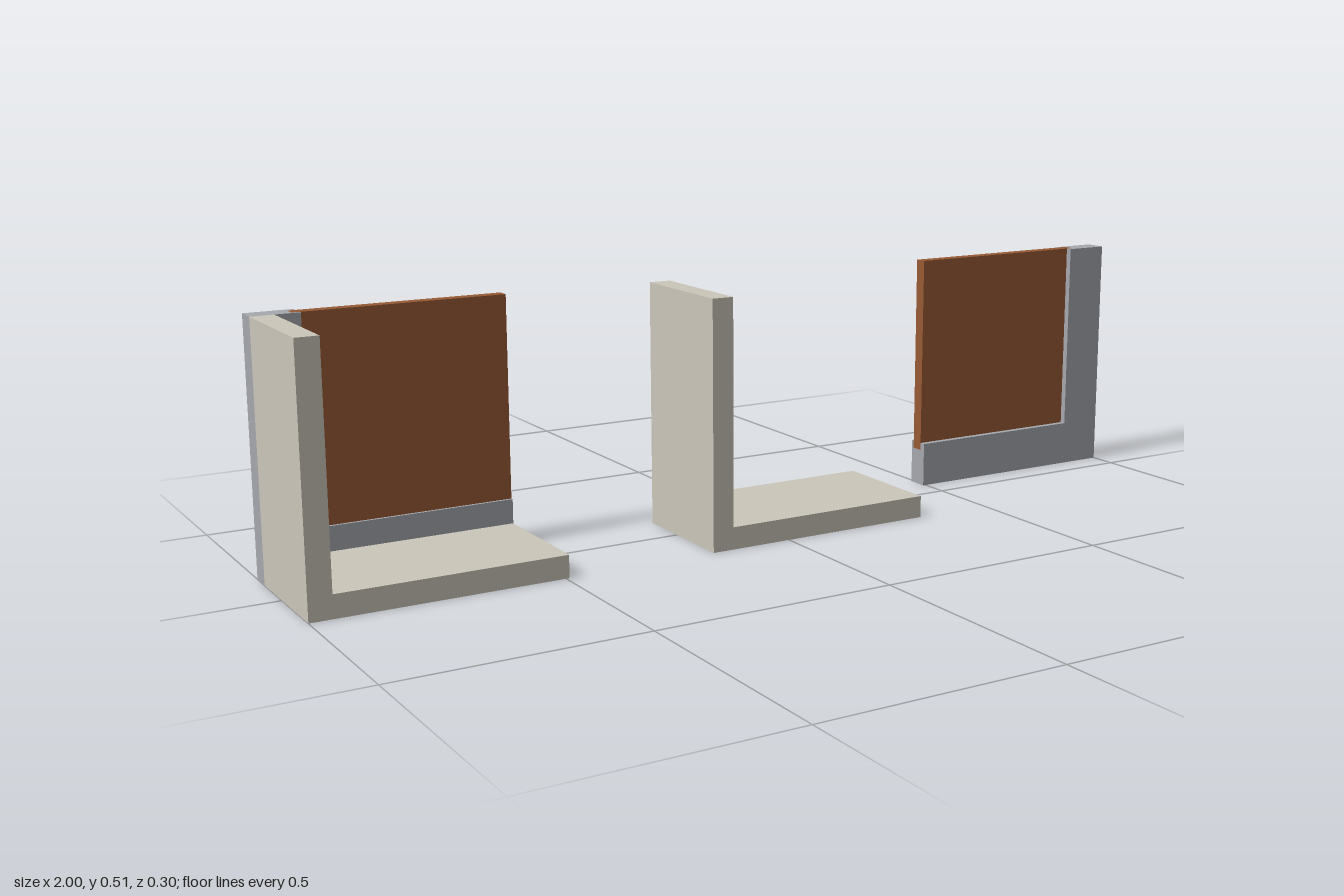
import * as THREE from 'three';

const SIZE = 0.507, HEIGHT = 0.509;   // outer size of each L piece
const WALL = 0.046;                   // channel wall thickness
const FRAME_W = 0.096, GROOVE_W = 0.08;
const FRAME_T = 0.045, LIP = 0.006, PANEL_T = 0.026;
const CHANNEL_D = 0.255, HOLE_D = 0.02;

// Fixing positions measured from the outer bottom corner
const DISCS = [[0.024, 0.42], [0.024, 0.135], [0.282, 0.025]];
const PINS = [[0.024, 0.302], [0.423, 0.025]];

function material(name, color) {
  const m = new THREE.MeshStandardMaterial({ color });
  m.name = name;
  return m;
}

// L outline with its corner at the origin
function lShape(w, holes = []) {
  const s = new THREE.Shape([
    [0, 0], [SIZE, 0], [SIZE, w], [w, w], [w, HEIGHT], [0, HEIGHT],
  ].map(([x, y]) => new THREE.Vector2(x, y)));
  for (const [x, y] of holes) {
    const p = new THREE.Path();
    p.absarc(x, y, 0.0105, 0, Math.PI * 2, true);
    s.holes.push(p);
  }
  return s;
}

function addMesh(parent, name, geometry, mat) {
  const mesh = new THREE.Mesh(geometry, mat);
  mesh.name = name;
  parent.add(mesh);
  return mesh;
}

function addSlab(parent, name, shape, z0, depth, mat) {
  const geo = new THREE.ExtrudeGeometry(shape, { depth, bevelEnabled: false, curveSegments: 8 });
  addMesh(parent, name, geo, mat).position.z = z0;
}

// Round fixing lying along z, centred on z
function addRound(parent, name, x, y, z, r0, r1, length, mat) {
  const geo = new THREE.CylinderGeometry(r1, r0, length, 16).rotateX(Math.PI / 2);
  addMesh(parent, name, geo, mat).position.set(x, y, z);
}

// Deep L channel, back face on z = 0, with sockets and flush discs in the back
function makeChannel(name, mats) {
  const g = new THREE.Group();
  g.name = name;
  addSlab(g, 'channelBody', lShape(WALL), HOLE_D, CHANNEL_D - HOLE_D, mats.beige);
  addSlab(g, 'channelSocketLayer', lShape(WALL, PINS), 0, HOLE_D, mats.beige);
  for (const [x, y] of DISCS) addRound(g, 'channelDisc', x, y, 0, 0.0115, 0.0115, 0.003, mats.black);
  return g;
}

// Grooved L frame holding a panel, mating face on z = 0 and body towards -z
function makeFrame(name, mats) {
  const g = new THREE.Group();
  g.name = name;
  addSlab(g, 'frameInnerLip', lShape(FRAME_W), -LIP, LIP, mats.grey);
  addSlab(g, 'frameGrooveCore', lShape(GROOVE_W), -LIP - PANEL_T, PANEL_T, mats.grey);
  addSlab(g, 'frameOuterLip', lShape(FRAME_W), -FRAME_T, FRAME_T - LIP - PANEL_T, mats.grey);

  // Panel runs into the groove on two sides
  const w = SIZE - GROOVE_W, h = HEIGHT - GROOVE_W;
  addMesh(g, 'panel', new THREE.BoxGeometry(w, h, PANEL_T), mats.brown)
    .position.set(GROOVE_W + w / 2, GROOVE_W + h / 2, -LIP - PANEL_T / 2);

  // Flush discs and stepped locating pins
  for (const [x, y] of DISCS) addRound(g, 'frameDisc', x, y, 0, 0.0115, 0.0115, 0.003, mats.black);
  for (const [x, y] of PINS) {
    addRound(g, 'pinCollar', x, y, 0.004, 0.01, 0.01, 0.008, mats.black);
    addRound(g, 'pinTip', x, y, 0.012, 0.009, 0.0075, 0.008, mats.black);
  }
  return g;
}

export function createModel() {
  const mats = {
    beige: material('beige', 0xcdc8bb),
    grey: material('grey', 0xa6a9ae),
    brown: material('brown', 0x985a34),
    black: material('black', 0x222326),
  };
  const model = new THREE.Group();
  model.name = 'modularCornerParts';
  const back = -0.105;

  // Assembled corner: channel and frame joined
  const channelA = makeChannel('assembledChannel', mats);
  const frameA = makeFrame('assembledFrame', mats);
  channelA.position.set(-1, 0, back);
  frameA.position.set(-1, 0, back);

  // Separate channel
  const channelB = makeChannel('looseChannel', mats);
  channelB.position.set(-0.177, 0, back);

  // Separate frame, turned round to show its pins at the back
  const frameB = makeFrame('looseFrame', mats);
  frameB.rotation.y = Math.PI;
  frameB.position.set(1, 0, back);

  model.add(channelA, frameA, channelB, frameB);
  return model;
}
